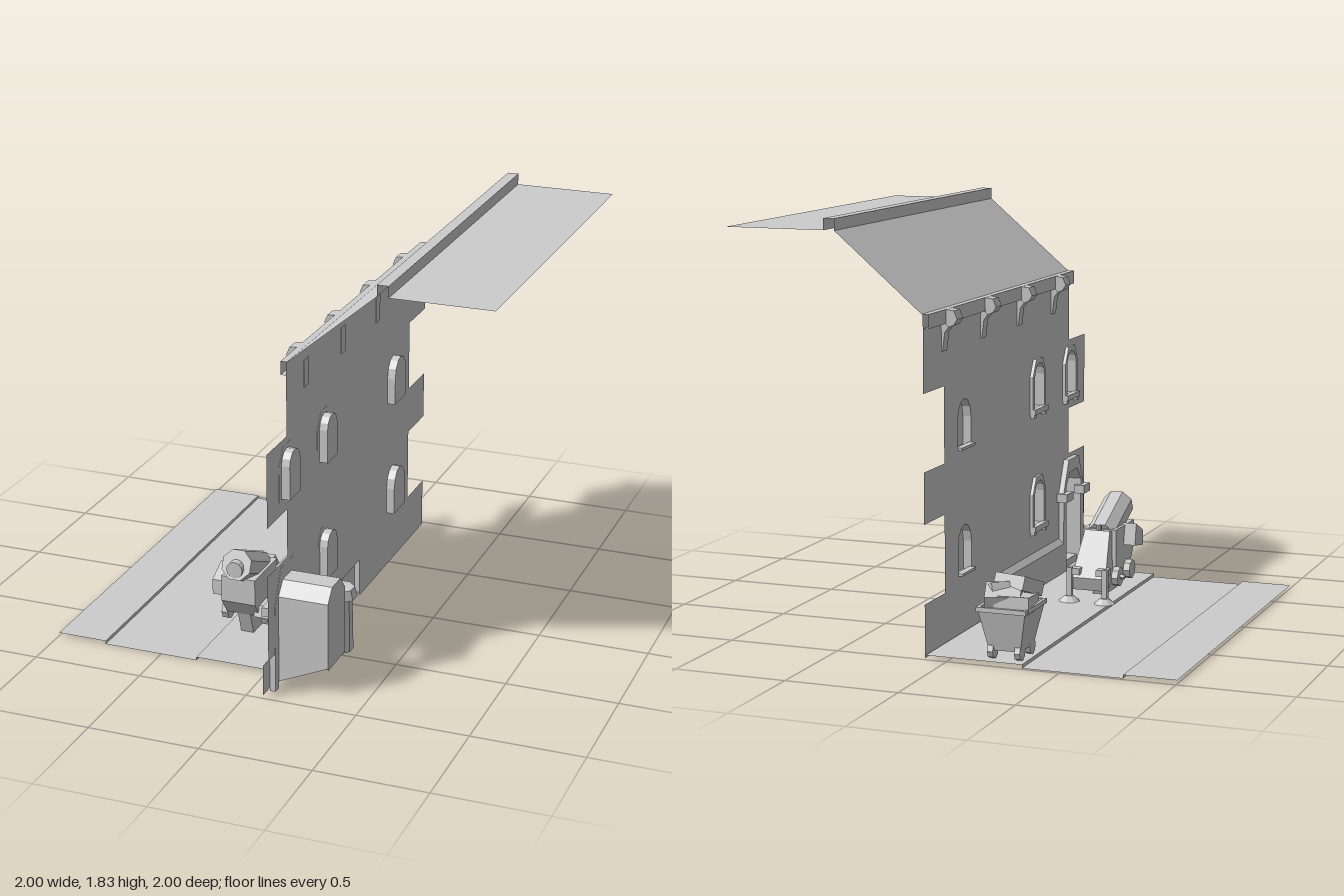
import * as THREE from 'three';

const stone = new THREE.MeshStandardMaterial({ name: 'stone grey', color: 0xcccccc, flatShading: true, side: THREE.DoubleSide });

const shapeOf = (pts) => new THREE.Shape(pts.map(([a, b]) => new THREE.Vector2(a, b)));

// open strip: a profile in x, y carried along z
function sweep(pts, z0, z1) {
  const pos = [];
  for (let i = 0; i < pts.length - 1; i++) {
    const [a, b] = pts[i], [c, d] = pts[i + 1];
    pos.push(a, b, z0, c, d, z0, c, d, z1, a, b, z0, c, d, z1, a, b, z1);
  }
  const g = new THREE.BufferGeometry();
  g.setAttribute('position', new THREE.Float32BufferAttribute(pos, 3));
  g.computeVertexNormals();
  return g;
}

// arch outline from left foot over the top to right foot
function arch(c, w, y0, y1, rise, n) {
  const pts = [[c - w, y0]], k = n === 3 ? Math.sin(Math.PI / 3) : 1;
  for (let i = 0; i <= n; i++) {
    const a = Math.PI * (1 - i / n);
    pts.push([c + w * Math.cos(a), y1 - rise + rise * Math.sin(a) / k]);
  }
  pts.push([c + w, y0]);
  return pts;
}

// wall-plane solids and sheets: outline in (-z, y), depth along x
const across = (pts, x0, x1) => new THREE.ExtrudeGeometry(shapeOf(pts), { depth: x1 - x0, bevelEnabled: false })
  .translate(0, 0, x0).rotateY(Math.PI / 2);
const pane = (pts, x) => new THREE.ShapeGeometry(shapeOf(pts)).translate(0, 0, x).rotateY(Math.PI / 2);

export function createModel() {
  const root = new THREE.Group();
  root.name = 'streetFacade';
  const add = (name, geo, parent = root) => {
    const m = new THREE.Mesh(geo, stone);
    m.name = name;
    parent.add(m);
    return m;
  };
  const box = (name, x, y, z, w, h, d, parent) => add(name, new THREE.BoxGeometry(w, h, d).translate(x, y, z), parent);
  const group = (name) => {
    const g = new THREE.Group();
    g.name = name;
    root.add(g);
    return g;
  };

  // road between two raised pavements
  add('street', sweep([[-1, 0.015], [-0.77, 0.015], [-0.77, 0], [-0.33, 0], [-0.33, 0.015], [0.1, 0.015]], -0.985, 0.775));

  // wall with toothed ends, door notch and window holes
  const doorC = -0.785;
  const windows = [[-0.78, 0.82, true], [-0.345, 0.82, true], [-0.345, 0.27, true], [0.535, 0.82, false], [0.535, 0.27, false]];
  const opening = ([c, y, framed]) => framed ? arch(c, 0.06, y + 0.04, y + 0.25, 0.06, 6) : arch(c, 0.075, y, y + 0.215, 0.09, 6);
  const wall = shapeOf([[-1, 0.18], ...arch(doorC, 0.1, 0.18, 0.49, 0.06, 3), [0.1, 0.18], [0.1, 0], [0.98, 0],
    [0.98, 0.23], [0.76, 0.23], [0.76, 0.57], [0.98, 0.57], [0.98, 0.79], [0.76, 0.79], [0.76, 1.12], [0.98, 1.12],
    [0.98, 1.45], [-0.78, 1.45], [-0.78, 1.12], [-1, 1.12], [-1, 0.79], [-0.78, 0.79], [-0.78, 0.57], [-1, 0.57]]);
  windows.forEach((w) => wall.holes.push(shapeOf(opening(w))));
  add('wall', new THREE.ShapeGeometry(wall).translate(0, 0, 0.105).rotateY(Math.PI / 2));

  // windows: sunk recess, pane, frame and sill
  for (const w of windows) {
    const [c, y, framed] = w, g = group('window'), o = opening(w);
    add('recess', sweep([...o, o[0]], 0.105, 0.143).rotateY(Math.PI / 2), g);
    add('pane', pane(o, 0.143), g);
    if (framed) {
      add('frame', across([...arch(c, 0.085, y + 0.03, y + 0.27, 0.075, 3), ...o.slice().reverse()], 0.09, 0.106), g);
      box('sill', 0.092, y + 0.03, -c, 0.028, 0.025, 0.17, g);
      for (const s of [-1, 1]) box('sillFoot', 0.095, y + 0.01, -c + s * 0.07, 0.02, 0.02, 0.025, g);
    } else box('sill', 0.1, y + 0.006, -c, 0.03, 0.012, 0.15, g);
  }

  // deep doorway with steps
  const door = group('doorway');
  add('frame', across([...arch(doorC, 0.14, 0.0, 0.55, 0.15, 3), ...arch(doorC, 0.1, 0.0, 0.49, 0.06, 3).reverse()], 0.08, 0.106), door);
  add('vault', sweep(arch(doorC, 0.1, 0.42, 0.49, 0.06, 3), 0.105, 0.33).rotateY(Math.PI / 2), door);
  for (const s of [-1, 1]) {
    add('sideWall', new THREE.ShapeGeometry(shapeOf([[0.08, 0.02], [0.33, 0.13], [0.33, 0.43], [0.08, 0.43]]))
      .translate(0, 0, -doorC + s * 0.1), door);
    box('impost', 0.08, 0.38, -doorC + s * 0.12, 0.05, 0.04, 0.09, door);
  }
  add('backWall', pane(arch(doorC, 0.1, 0.12, 0.49, 0.06, 3), 0.33), door);
  box('doorLeaf', 0.326, 0.275, -doorC, 0.008, 0.29, 0.15, door);
  add('steps', sweep([[0.08, 0.02], [0.1, 0.02], [0.1, 0.055], [0.16, 0.055], [0.16, 0.09], [0.22, 0.09], [0.22, 0.125], [0.33, 0.125]], 0.685, 0.885), door);

  // plinth on both sides of the door
  const plinth = [[0.08, 0.015], [0.08, 0.155], [0.105, 0.18]];
  add('plinth', sweep(plinth, 0.92, 1));
  add('plinth', sweep(plinth, -0.1, 0.65));
  add('plinthEnd', new THREE.ShapeGeometry(shapeOf([...plinth, [0.105, 0.015]])).translate(0, 0, -0.1));

  // eight-sided post behind the wall
  const post = group('post');
  add('shaft', new THREE.CylinderGeometry(0.055, 0.06, 0.26, 8).rotateY(Math.PI / 8).translate(0.22, 0.14, 0.455), post);
  add('cap', new THREE.CylinderGeometry(0.065, 0.078, 0.045, 8).rotateY(Math.PI / 8).translate(0.22, 0.287, 0.455), post);

  // roof: slope, ridge curb and flat sheet, with eaves gutter
  add('roof', sweep([[0.11, 1.45], [0.5, 1.78], [0.5, 1.83], [0.55, 1.83], [0.55, 1.78], [1, 1.78]], -0.98, 0.78));
  add('gutter', sweep([[0.11, 1.45], [0.08, 1.45], [0.08, 1.39], [0.105, 1.39]], -0.98, 0.78));
  for (const z of [-0.76, -0.32, 0.12, 0.56]) {
    const bracket = group('eavesBracket');
    const extrude = (pts, w) => new THREE.ExtrudeGeometry(shapeOf(pts), { depth: w, bevelEnabled: false }).translate(0, 0, z - w / 2);
    add('head', extrude([[0.03, 1.41], [0.045, 1.385], [0.07, 1.375], [0.083, 1.39], [0.083, 1.45], [0.045, 1.445]], 0.066), bracket);
    add('corbel', extrude([[0.06, 1.39], [0.09, 1.35], [0.1, 1.27], [0.108, 1.27], [0.108, 1.39]], 0.05), bracket);
  }

  // wheeled cannon pointing toward the front
  const cannon = group('cannon');
  const cx = -0.22;
  const slab = (name, pts, x, w) => add(name, across(pts.map(([z, y]) => [-z, y]), x - w / 2, x + w / 2), cannon);
  const tail = slab('tail', [[0.15, 0.12], [0.17, 0.06], [0.36, 0.1], [0.36, 0.3], [0.27, 0.32]], cx, 0.12);
  const tp = tail.geometry.attributes.position;
  for (let i = 0; i < tp.count; i++) if (tp.getZ(i) < 0.2) tp.setX(i, cx + (tp.getX(i) - cx) * 1.35);
  slab('body', [[0.3, 0.12], [0.5, 0.12], [0.56, 0.2], [0.56, 0.32], [0.3, 0.32]], cx, 0.16);
  slab('keel', [[0.3, 0.015], [0.46, 0.015], [0.5, 0.13], [0.26, 0.13]], cx, 0.06);
  add('barrel', new THREE.CylinderGeometry(0.072, 0.072, 0.27, 8).rotateY(Math.PI / 8).rotateX(1.15).translate(cx, 0.335, 0.45), cannon);
  add('muzzle', new THREE.CylinderGeometry(0.038, 0.038, 0.05, 12).rotateX(Math.PI / 2).translate(cx, 0.375, 0.575), cannon);
  add('pivot', new THREE.CylinderGeometry(0.012, 0.012, 0.03, 8).translate(cx, 0.325, 0.295), cannon);
  for (const s of [-1, 1]) {
    add('foot', new THREE.CylinderGeometry(0.02, 0.05, 0.025, 8).translate(cx + s * 0.085, 0.027, 0.13), cannon);
    box('footPost', cx + s * 0.085, 0.1, 0.135, 0.024, 0.14, 0.024, cannon);
    box('footArm', cx + s * 0.065, 0.15, 0.17, 0.05, 0.03, 0.07, cannon);
    for (const z of [0.28, 0.45])
      add('wheel', new THREE.CylinderGeometry(0.045, 0.045, 0.03, 8).rotateZ(Math.PI / 2).translate(cx + s * 0.095, 0.11, z), cannon);
    add('axle', new THREE.CylinderGeometry(0.012, 0.012, 0.1, 6).rotateZ(Math.PI / 2).translate(cx + s * 0.08, 0.11, 0.28), cannon);
  }
  slab('sideBox', [[0.41, 0.23], [0.53, 0.21], [0.53, 0.28], [0.43, 0.33]], cx - 0.1, 0.07);
  slab('sideFender', [[0.4, 0.13], [0.53, 0.13], [0.51, 0.18], [0.43, 0.18]], cx + 0.095, 0.07);

  // cart heaped with blocks
  const cart = group('cart');
  const [kx, kz] = [-0.238, -0.865];
  const tub = new THREE.CylinderGeometry(0.106 * Math.SQRT2, 0.07 * Math.SQRT2, 0.18, 4, 1, true)
    .rotateY(Math.PI / 4).scale(1, 1, 1.12).translate(kx, 0.145, kz);
  add('tub', tub, cart);
  box('tubFloor', kx, 0.06, kz, 0.14, 0.012, 0.157, cart);
  for (const s of [-1, 1]) {
    box('rimSide', kx + s * 0.104, 0.233, kz, 0.014, 0.02, 0.25, cart);
    box('rimEnd', kx, 0.233, kz + s * 0.117, 0.215, 0.02, 0.014, cart);
    for (const t of [-1, 1])
      add('wheel', new THREE.CylinderGeometry(0.035, 0.035, 0.025, 8).rotateZ(Math.PI / 2).translate(kx + s * 0.06, 0.05, kz + t * 0.06), cart);
  }
  const blocks = [[-0.01, 0.31, 0.06, 0.15, 0.06, 0.15, 0.35, -0.25], [0.02, 0.27, -0.04, 0.15, 0.08, 0.13, -0.3, 0.3],
    [-0.03, 0.25, -0.02, 0.15, 0.07, 0.17, 0.1, 0.1], [0.05, 0.3, -0.02, 0.08, 0.05, 0.08, 0.4, 0.7]];
  for (const [x, y, z, w, h, d, tilt, turn] of blocks) {
    const b = add('block', new THREE.BoxGeometry(w, h, d), cart);
    b.position.set(kx + x, y, kz + z);
    b.rotation.set(tilt, turn, 0, 'YXZ');
  }
  return root;
}
